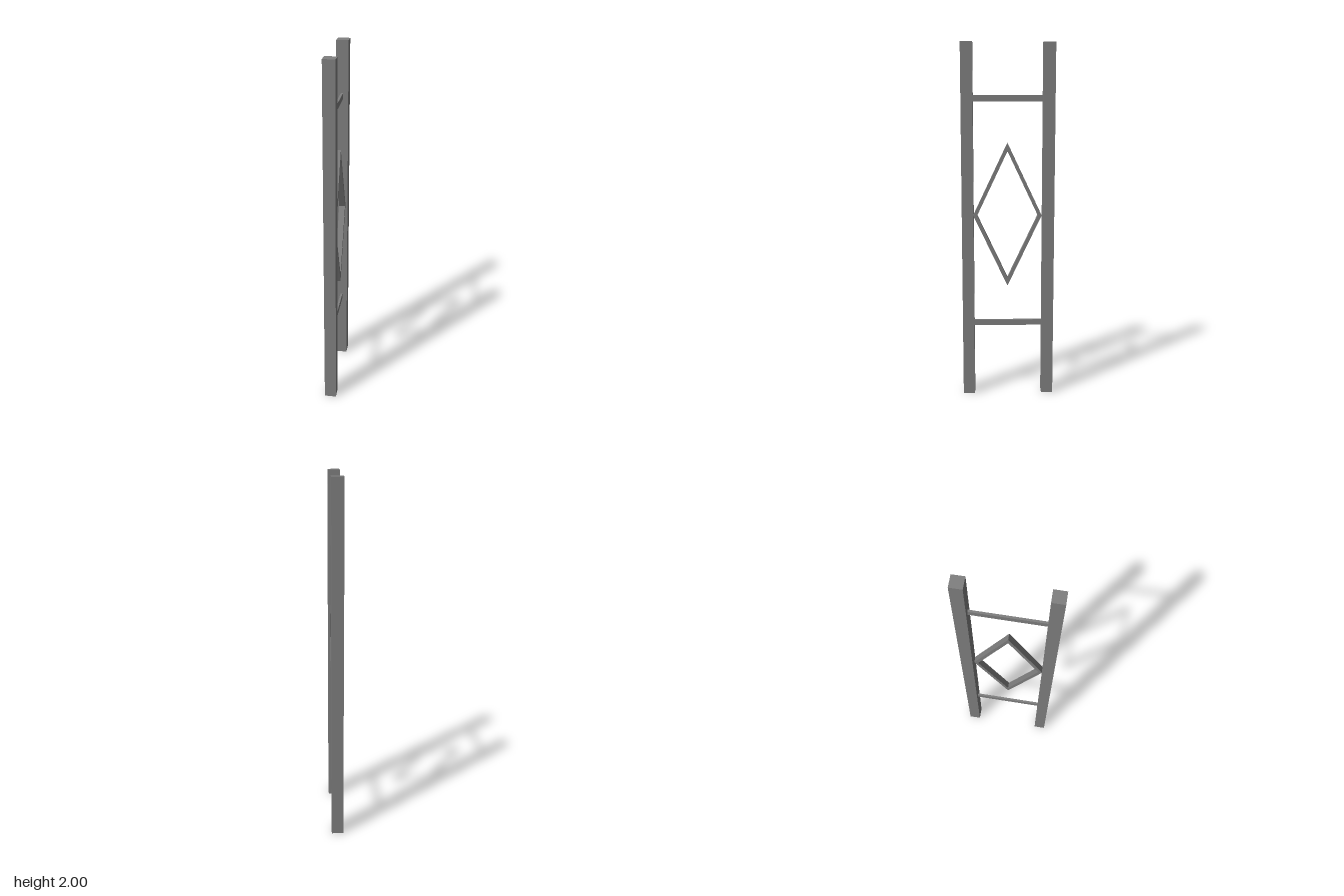
import * as THREE from 'three';

export function createModel() {
  const model = new THREE.Group();
  const material = new THREE.MeshStandardMaterial({ color: 0x808080, flatShading: true });

  function add(name, geometry, x, y, z) {
    const mesh = new THREE.Mesh(geometry, material);
    mesh.name = name;
    mesh.position.set(x, y, z);
    model.add(mesh);
  }

  // Two square uprights
  for (const [name, z] of [['frontPost', 0.226], ['backPost', -0.226]]) {
    add(name, new THREE.BoxGeometry(0.066, 2, 0.066), 0, 1, z);
  }

  // Thin rungs between the uprights
  for (const [name, y] of [['upperRung', 1.699], ['lowerRung', 0.421]]) {
    add(name, new THREE.BoxGeometry(0.012, 0.033, 0.388), -0.001, y, 0);
  }

  // Open diamond frame, drawn in the z-y plane and extruded along x
  const corners = (w, h) => [[w, 0], [0, h], [-w, 0], [0, -h]].map(([a, b]) => new THREE.Vector2(a, b));
  const diamond = new THREE.Shape(corners(0.192, 0.406));
  diamond.holes.push(new THREE.Path(corners(0.17, 0.36)));
  const frame = new THREE.ExtrudeGeometry(diamond, { depth: 0.034, bevelEnabled: false });
  frame.translate(0, 0, -0.017);
  frame.rotateY(Math.PI / 2);
  add('diamondFrame', frame, 0.005, 1.051, 0.003);

  return model;
}
